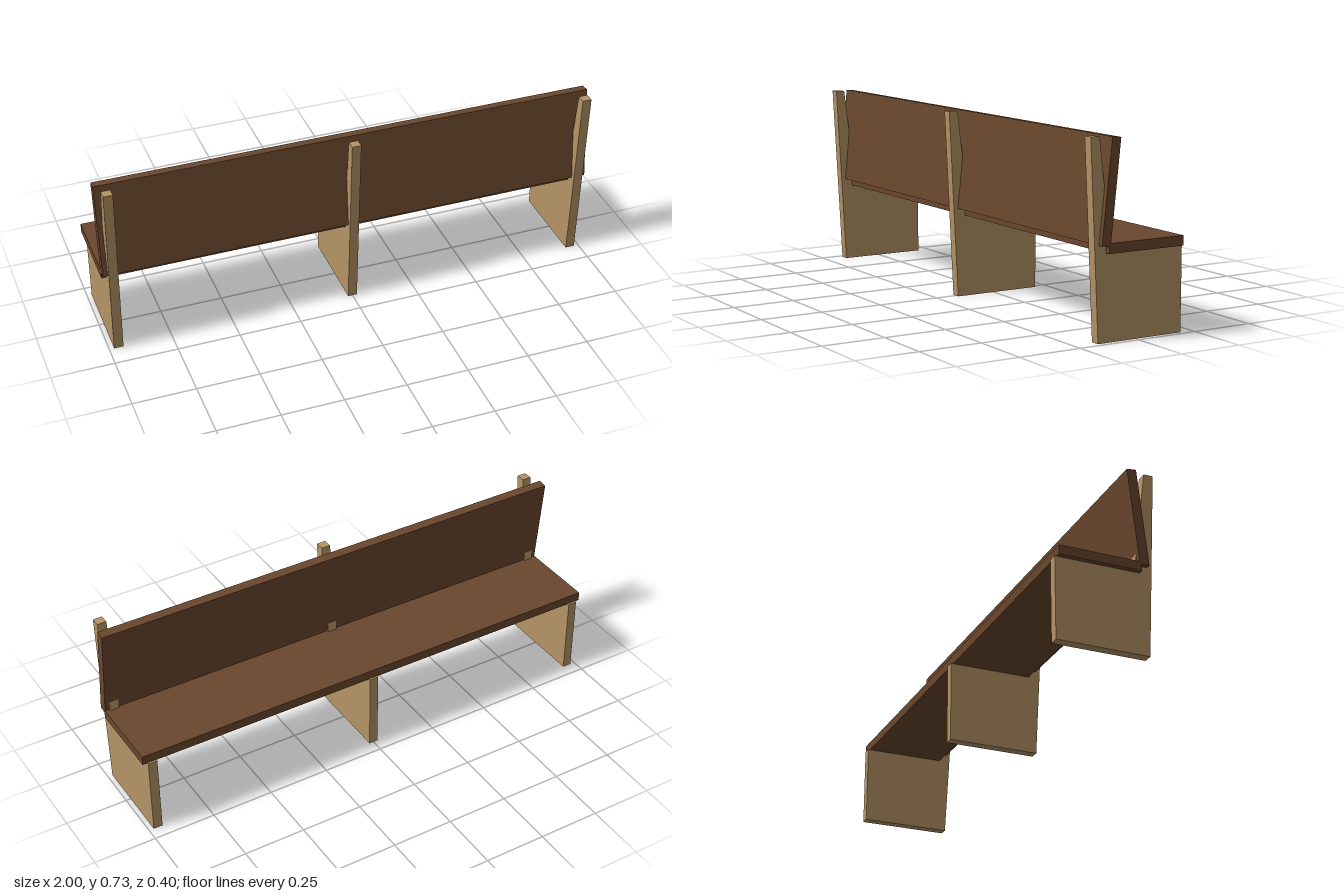
import * as THREE from 'three';

const lightWood = new THREE.MeshStandardMaterial({ color: 0xb59467 });
lightWood.name = 'light wood';
const darkWood = new THREE.MeshStandardMaterial({ color: 0x6a472d });
darkWood.name = 'dark wood';

// Extrudes a side profile of [z, y] points along x, centred on x = 0
function sideExtrude(name, points, width, material) {
  const shape = new THREE.Shape(points.map(([z, y]) => new THREE.Vector2(z, y)));
  const geometry = new THREE.ExtrudeGeometry(shape, { depth: width, bevelEnabled: false });
  geometry.translate(0, 0, -width / 2).rotateY(-Math.PI / 2);
  const mesh = new THREE.Mesh(geometry, material);
  mesh.name = name;
  return mesh;
}

export function createModel() {
  const bench = new THREE.Group();
  bench.name = 'bench';

  // Three upright panels, each a seat support with a leaning post
  const supportProfile = [
    [-0.199, 0], [0.162, 0], [0.2, 0.733], [0.163, 0.733], [0.111, 0.323], [-0.199, 0.323],
  ];
  for (const [name, x] of [['rightSupport', -0.9625], ['middleSupport', 0], ['leftSupport', 0.9625]]) {
    const support = sideExtrude(name, supportProfile, 0.037, lightWood);
    support.position.x = x;
    bench.add(support);
  }

  // Seat plank
  const seat = new THREE.Mesh(new THREE.BoxGeometry(2, 0.037, 0.322), darkWood);
  seat.name = 'seat';
  seat.position.set(0, 0.3395, -0.03);
  bench.add(seat);

  // Tilted backrest plank
  const backrestProfile = [[0.125, 0.346], [0.162, 0.35], [0.122, 0.732], [0.085, 0.728]];
  bench.add(sideExtrude('backrest', backrestProfile, 2, darkWood));

  return bench;
}
